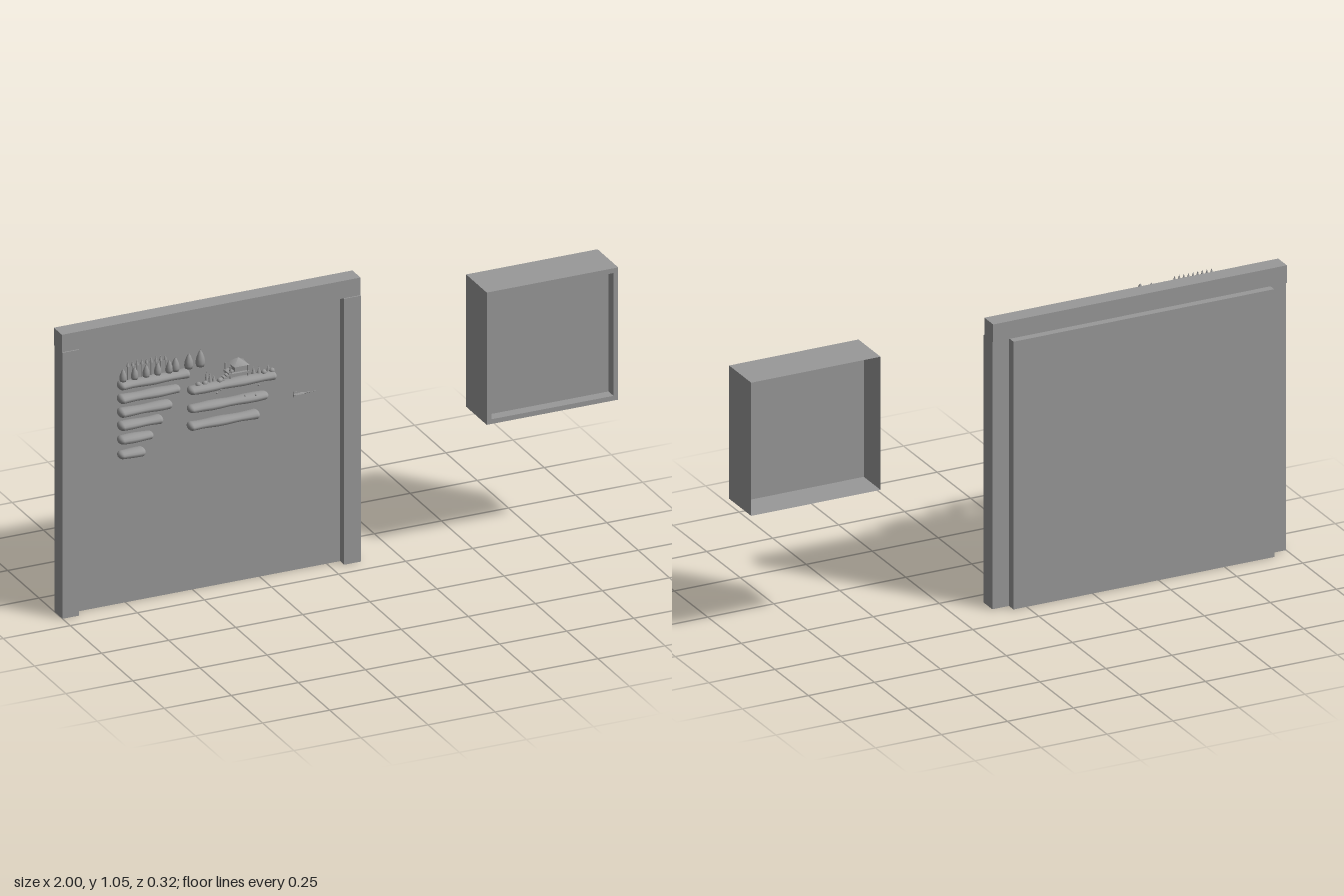
import * as THREE from 'three';

const grey = new THREE.MeshStandardMaterial({ color: 0x999999 });
grey.name = 'plain grey';
grey.side = THREE.DoubleSide;

function add(parent, name, geometry, x = 0, y = 0, z = 0) {
  const mesh = new THREE.Mesh(geometry, grey);
  mesh.name = name;
  mesh.position.set(x, y, z);
  parent.add(mesh);
  return mesh;
}

// Box given by its lower and upper corners
function block(parent, name, [x0, y0, z0], [x1, y1, z1]) {
  return add(parent, name, new THREE.BoxGeometry(x1 - x0, y1 - y0, z1 - z0),
    (x0 + x1) / 2, (y0 + y1) / 2, (z0 + z1) / 2);
}

// Four thin walls around a rectangular opening, running along z
function sleeve(parent, name, w, h, z0, z1) {
  const depth = z1 - z0, z = (z0 + z1) / 2;
  for (const s of [-1, 1]) {
    add(parent, name + 'Side', new THREE.PlaneGeometry(depth, h), s * w / 2, 0, z).rotation.y = s * Math.PI / 2;
    add(parent, name + 'Level', new THREE.PlaneGeometry(w, depth), 0, s * h / 2, z).rotation.x = -s * Math.PI / 2;
  }
}

function rectangle(PathType, w, h) {
  return new PathType([[-1, -1], [1, -1], [1, 1], [-1, 1]].map(([x, y]) => new THREE.Vector2(x * w / 2, y * h / 2)));
}

// Wide panel with posts and header
function makeFrame() {
  const frame = new THREE.Group();
  frame.name = 'panelFrame';
  block(frame, 'header', [-1, 0.985, -0.132], [0.113, 1.05, -0.067]);
  block(frame, 'rightPost', [-1, 0, -0.126], [-0.938, 0.985, -0.062]);
  block(frame, 'leftPost', [0.05, 0, -0.126], [0.113, 0.985, -0.062]);
  block(frame, 'panel', [-0.938, 0, -0.16], [0.05, 0.985, -0.095]);
  return frame;
}

// Shallow cabinet, recessed in front and open behind
function makeCabinet() {
  const cabinet = new THREE.Group();
  cabinet.name = 'cabinet';
  const w = 0.49, inner = 0.455;
  sleeve(cabinet, 'outerWall', w, w, -0.07, 0.095);
  sleeve(cabinet, 'recessWall', inner, inner, 0.055, 0.095);
  const rim = rectangle(THREE.Shape, w, w);
  rim.holes.push(rectangle(THREE.Path, inner, inner));
  add(cabinet, 'rim', new THREE.ShapeGeometry(rim), 0, 0, 0.095);
  add(cabinet, 'innerPanel', new THREE.PlaneGeometry(w, w), 0, 0, 0.055);
  cabinet.position.set(0.753, 0.74, 0);
  return cabinet;
}

// Rounded floating ledges in two stacks
function makeLedges() {
  const ledges = new THREE.Group();
  ledges.name = 'ledges';
  const rows = [
    [-0.87, -0.605, 0.904], [-0.87, -0.64, 0.854], [-0.87, -0.67, 0.803],
    [-0.87, -0.705, 0.754], [-0.87, -0.74, 0.702], [-0.87, -0.77, 0.647],
    [-0.61, -0.282, 0.836], [-0.61, -0.312, 0.768], [-0.61, -0.345, 0.704],
  ];
  const r = 0.015;
  for (const [x0, x1, y] of rows) {
    const geometry = new THREE.CapsuleGeometry(r, x1 - x0 - 2 * r, 6, 14, 8);
    geometry.rotateZ(Math.PI / 2);
    // Slightly uneven surface
    const p = geometry.attributes.position;
    for (let i = 0; i < p.count; i++) {
      const bump = 1 + 0.08 * Math.sin(p.getX(i) * 45 + y * 30);
      p.setXYZ(i, p.getX(i), p.getY(i) * bump, p.getZ(i) * 1.65 * bump);
    }
    geometry.computeVertexNormals();
    add(ledges, 'ledge', geometry, (x0 + x1) / 2, y, 0.102);
  }
  return ledges;
}

// Rounded trees and thin pins along the top ledge
function makeTrees() {
  const trees = new THREE.Group();
  trees.name = 'trees';
  const profile = [[0, 0], [0.8, 0], [1, 0.2], [0.85, 0.5], [0.45, 0.82], [0, 1]];
  const plant = (x, y, r, h) => add(trees, 'tree',
    new THREE.LatheGeometry(profile.map(([a, b]) => new THREE.Vector2(a * r, b * h)), 10), x, y, 0.1);
  for (let i = 0; i < 5; i++) plant(-0.85 + i * 0.043, 0.918, 0.013, 0.045);
  plant(-0.655, 0.92, 0.015, 0.05);
  plant(-0.605, 0.92, 0.016, 0.055);
  plant(-0.562, 0.92, 0.017, 0.06);
  for (let i = 0; i < 9; i++) {
    const x = -0.83 + i * 0.0175;
    add(trees, 'pinStem', new THREE.CylinderGeometry(0.002, 0.002, 0.066, 6), x, 0.948, 0.095);
    add(trees, 'pinTip', new THREE.ConeGeometry(0.006, 0.02, 6), x, 0.976, 0.095);
  }
  return trees;
}

// Small hut with posts, rocks and spikes on the second stack
function makeVillage() {
  const village = new THREE.Group();
  village.name = 'village';
  block(village, 'hutFloor', [-0.455, 0.862, 0.055], [-0.38, 0.869, 0.105]);
  block(village, 'hutBody', [-0.43, 0.869, 0.06], [-0.385, 0.893, 0.095]);
  for (const x of [-0.45, -0.385]) for (const z of [0.06, 0.1]) {
    add(village, 'hutPost', new THREE.CylinderGeometry(0.003, 0.003, 0.05, 6), x, 0.87, z);
  }
  const roof = add(village, 'hutRoof', new THREE.ConeGeometry(0.04, 0.022, 4), -0.41, 0.903, 0.078);
  roof.rotation.y = Math.PI / 4;
  for (let i = 0; i < 5; i++) {
    block(village, 'step', [-0.485 + i * 0.009, 0.85 + i * 0.006, 0.085], [-0.474 + i * 0.009, 0.855 + i * 0.006, 0.105]);
  }
  for (const [x, h] of [[-0.535, 0.05], [-0.522, 0.035], [-0.508, 0.025], [-0.36, 0.03], [-0.34, 0.025], [-0.305, 0.025]]) {
    add(village, 'spike', new THREE.ConeGeometry(0.008, h, 6), x, 0.848 + h / 2, 0.092);
  }
  for (const x of [-0.57, -0.545, -0.49, -0.325, -0.295]) {
    add(village, 'rock', new THREE.IcosahedronGeometry(0.01, 1), x, 0.852, 0.1);
  }
  return village;
}

// Tiny flying craft with drifting specks
function makeFlyers() {
  const flyers = new THREE.Group();
  flyers.name = 'flyers';
  const hull = add(flyers, 'craftHull', new THREE.ConeGeometry(0.005, 0.09, 8), -0.195, 0.772, 0.153);
  hull.rotation.z = -Math.PI / 2;
  block(flyers, 'craftWing', [-0.235, 0.77, 0.145], [-0.2, 0.773, 0.161]);
  block(flyers, 'craftFin', [-0.24, 0.762, 0.152], [-0.222, 0.784, 0.154]);
  for (const [x, y] of [[-0.525, 0.835], [-0.51, 0.842], [-0.42, 0.805], [-0.38, 0.8], [-0.37, 0.835]]) {
    add(flyers, 'speck', new THREE.OctahedronGeometry(0.005), x, y, 0.153);
  }
  return flyers;
}

export function createModel() {
  const model = new THREE.Group();
  model.name = 'panelAndCabinet';
  model.add(makeFrame(), makeCabinet(), makeLedges(), makeTrees(), makeVillage(), makeFlyers());
  return model;
}
